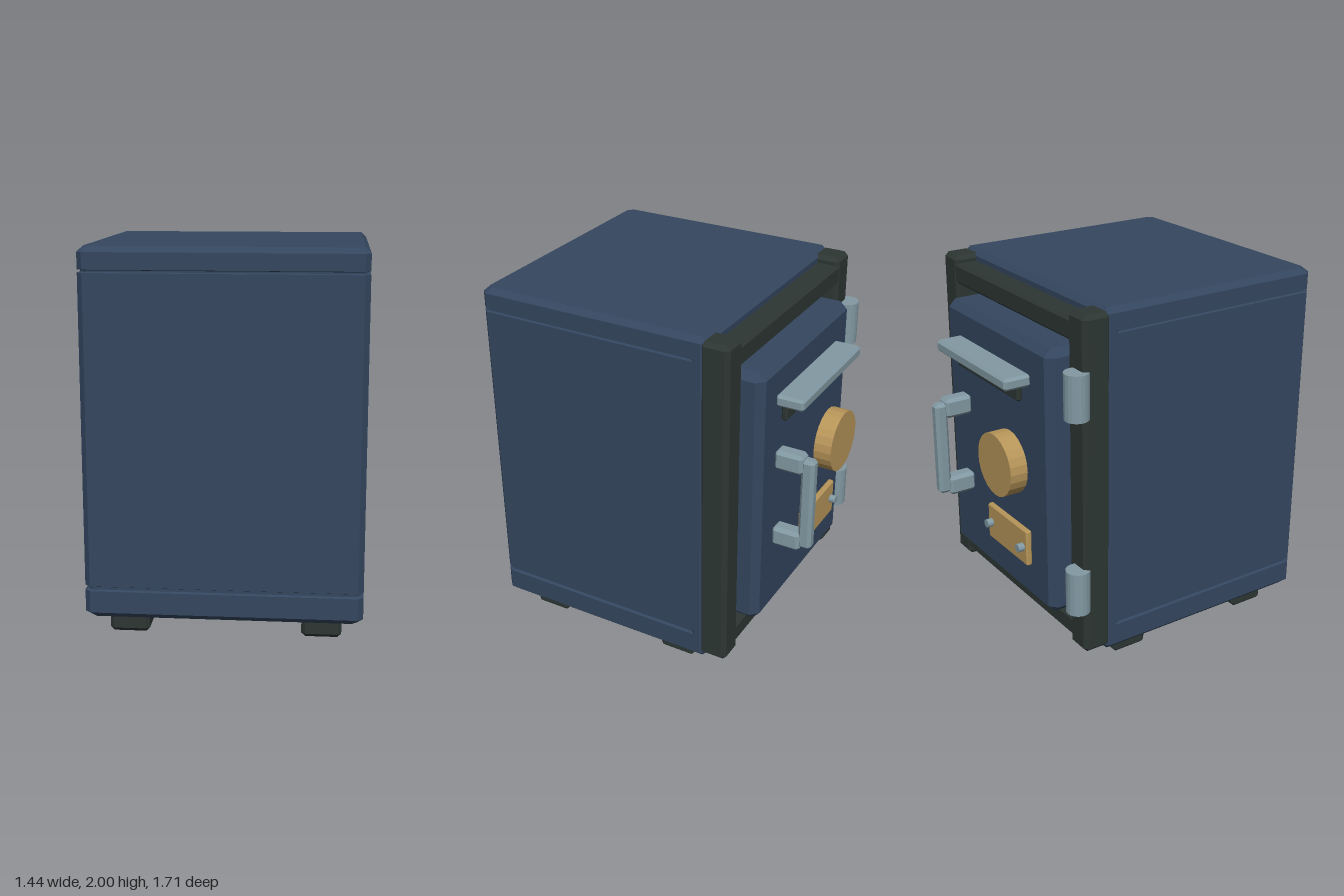
import * as THREE from 'three';
import { ConvexGeometry } from 'three/addons/geometries/ConvexGeometry.js';

const material = (color) => new THREE.MeshStandardMaterial({ color, flatShading: true });

// Box between two values per axis, with every edge chamfered by c
function chamferBox([x0, x1], [y0, y1], [z0, z1], c) {
  const h = [(x1 - x0) / 2, (y1 - y0) / 2, (z1 - z0) / 2];
  const points = [];
  for (const sx of [-1, 1]) for (const sy of [-1, 1]) for (const sz of [-1, 1]) {
    for (let axis = 0; axis < 3; axis++) {
      const d = h.map((v, i) => (i === axis ? v : v - c));
      points.push(new THREE.Vector3(sx * d[0], sy * d[1], sz * d[2]));
    }
  }
  return new ConvexGeometry(points).translate((x0 + x1) / 2, (y0 + y1) / 2, (z0 + z1) / 2);
}

// Stack of chamfered rectangles; each level is [y, inset]
function loftBox([x0, x1], [z0, z1], levels, c) {
  const positions = [], index = [], n = 8;
  for (const [y, inset] of levels) {
    const a = x0 + inset, b = x1 - inset, d = z0 + inset, e = z1 - inset;
    const ring = [[a + c, e], [b - c, e], [b, e - c], [b, d + c],
      [b - c, d], [a + c, d], [a, d + c], [a, e - c]];
    for (const [x, z] of ring) positions.push(x, y, z);
  }
  const last = (levels.length - 1) * n;
  for (let r = 0; r < last; r += n) {
    for (let i = 0; i < n; i++) {
      const j = (i + 1) % n;
      index.push(r + i, r + j, r + n + j, r + i, r + n + j, r + n + i);
    }
  }
  for (let i = 1; i < n - 1; i++) {
    index.push(0, i + 1, i, last, last + i, last + i + 1);
  }
  const g = new THREE.BufferGeometry();
  g.setAttribute('position', new THREE.Float32BufferAttribute(positions, 3));
  g.setIndex(index);
  const flat = g.toNonIndexed();
  flat.computeVertexNormals();
  return flat;
}

// Round part along z between z0 and z1
function discZ(x, y, radius, z0, z1, sides) {
  return new THREE.CylinderGeometry(radius, radius, z1 - z0, sides)
    .rotateX(Math.PI / 2).translate(x, y, (z0 + z1) / 2);
}

export function createModel() {
  const model = new THREE.Group();
  model.name = 'safe';
  const navy = material(0x34465f);
  const dark = material(0x2d3633);
  const steel = material(0x8299a3);
  const brass = material(0xb8965a);

  const add = (name, geometry, mat, parent = model) => {
    const mesh = new THREE.Mesh(geometry, mat);
    mesh.name = name;
    parent.add(mesh);
    return mesh;
  };

  // Cabinet with a groove near the top and bottom
  const width = [-0.695, 0.716];
  add('cabinet', loftBox(width, [-0.42, 0.857], [
    [0.12, 0.028], [0.148, 0], [0.262, 0], [0.268, 0.014], [0.282, 0.014], [0.288, 0],
    [1.872, 0], [1.876, 0.014], [1.884, 0.014], [1.888, 0], [1.972, 0], [2, 0.028],
  ], 0.028), navy);
  add('cabinetRim', chamferBox(width, [0.12, 2], [-0.435, -0.34], 0.028), navy);

  // Door frame: two posts and two rails
  const frame = new THREE.Group();
  frame.name = 'doorFrame';
  model.add(frame);
  for (const x of [[-0.697, -0.545], [0.568, 0.718]]) {
    add('framePost', chamferBox(x, [0.15, 1.985], [-0.557, -0.4], 0.022), dark, frame);
  }
  for (const y of [[0.19, 0.3], [1.83, 1.945]]) {
    add('frameRail', chamferBox([-0.6, 0.62], y, [-0.553, -0.4], 0.015), dark, frame);
  }

  // Door
  const door = new THREE.Group();
  door.name = 'door';
  model.add(door);
  add('doorPanel', chamferBox([-0.52, 0.538], [0.32, 1.78], [-0.648, -0.42], 0.04), navy, door);

  // Hinges
  for (const y of [0.525, 1.59]) {
    const hinge = new THREE.CylinderGeometry(0.064, 0.064, 0.24, 18);
    add('hinge', hinge.translate(-0.657, y, -0.577), steel, door);
  }

  // Ledge with a dark slot below it
  add('ledge', chamferBox([-0.35, 0.38], [1.55, 1.615], [-0.793, -0.64], 0.014), steel, door);
  add('ledgeSlot', chamferBox([-0.29, 0.34], [1.46, 1.56], [-0.692, -0.658], 0.008), dark, door);

  // Pull handle
  for (const y of [[0.728, 0.838], [1.187, 1.297]]) {
    add('handleMount', chamferBox([0.285, 0.376], y, [-0.8, -0.64], 0.018), steel, door);
  }
  add('handleBar', chamferBox([0.295, 0.362], [0.748, 1.275], [-0.857, -0.785], 0.016), steel, door);

  // Dial
  add('dial', discZ(-0.2, 1.105, 0.17, -0.786, -0.688, 24), brass, door);

  // Plate with two screws
  add('plate', chamferBox([-0.345, 0.065], [0.548, 0.752], [-0.692, -0.658], 0.008), brass, door);
  for (const x of [-0.305, 0.025]) {
    add('screw', discZ(x, 0.65, 0.023, -0.727, -0.68, 12), steel, door);
  }

  // Feet
  for (const x of [-0.487, 0.506]) {
    for (const z of [-0.2, 0.631]) {
      add('foot', chamferBox([x - 0.103, x + 0.103], [0, 0.14], [z - 0.103, z + 0.103], 0.02), dark);
    }
  }
  return model;
}
